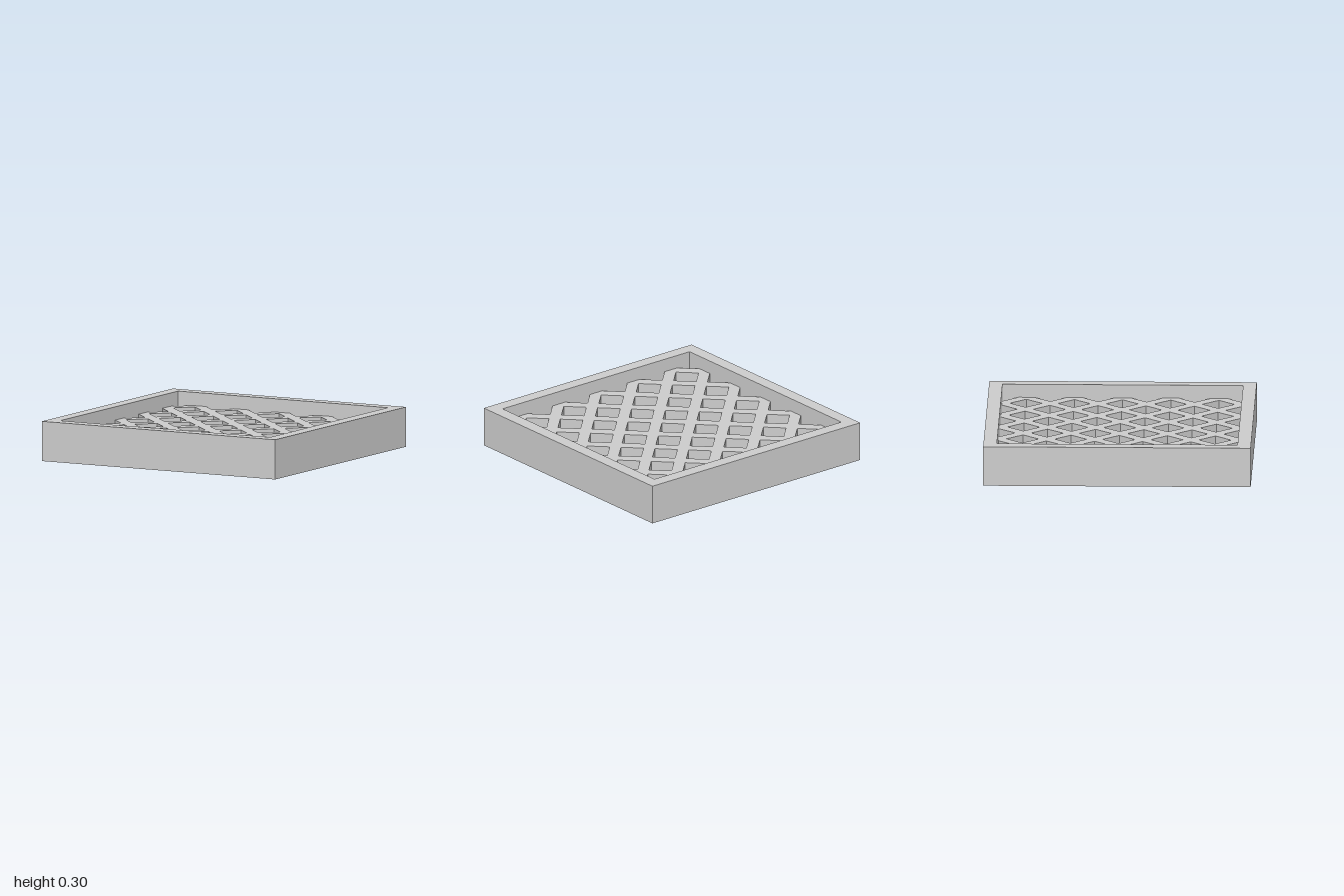
import * as THREE from 'three';

const HALF = 1, INNER = 0.9, HEIGHT = 0.3;
const STEP = 0.18, HOLE = 0.12; // half pitch of the lattice, half diagonal of a hole
const GRID_Y = 0.1, GRID_T = 0.1;

const path = (points) => points.map(([x, y]) => new THREE.Vector2(x, y));
const diamond = (x, y, r) => path([[x + r, y], [x, y + r], [x - r, y], [x, y - r]]);
const square = (r) => path([[-r, -r], [r, -r], [r, r], [-r, r]]);

// Extrudes a plan outline with holes upward from height y
function slab(name, outline, holes, y, depth, material) {
  const shape = new THREE.Shape(outline);
  shape.holes = holes.map((h) => new THREE.Path(h));
  const geometry = new THREE.ExtrudeGeometry(shape, { depth, bevelEnabled: false });
  geometry.rotateX(-Math.PI / 2);
  geometry.translate(0, y, 0);
  const mesh = new THREE.Mesh(geometry, material);
  mesh.name = name;
  return mesh;
}

// Lattice rim: half diamonds cut into each side, quarter diamonds off the corners
function latticeOutline() {
  const side = [[-INNER + HOLE, -INNER]];
  for (const k of [-3, -1, 1, 3]) {
    const c = k * STEP;
    side.push([c - HOLE, -INNER], [c, -INNER + HOLE], [c + HOLE, -INNER]);
  }
  side.push([INNER - HOLE, -INNER]);
  const points = [];
  const turns = [[1, 0], [0, 1], [-1, 0], [0, -1]];
  for (const [c, s] of turns) {
    for (const [x, y] of side) points.push([x * c - y * s, x * s + y * c]);
  }
  return path(points);
}

export function createModel() {
  const group = new THREE.Group();
  group.name = 'latticeTray';
  const material = new THREE.MeshStandardMaterial({ color: 0xcccccc, flatShading: true });

  // Square outer frame
  group.add(slab('frame', square(HALF), [square(INNER)], 0, HEIGHT, material));

  // Diagonal lattice at mid height
  const holes = [];
  for (let i = -4; i <= 4; i++) {
    for (let j = -4; j <= 4; j++) {
      if ((i + j) % 2 === 0 && i % 2 === 0 || (i % 2 !== 0 && j % 2 !== 0)) {
        holes.push(diamond(i * STEP, j * STEP, HOLE));
      }
    }
  }
  group.add(slab('lattice', latticeOutline(), holes, GRID_Y, GRID_T, material));
  return group;
}
